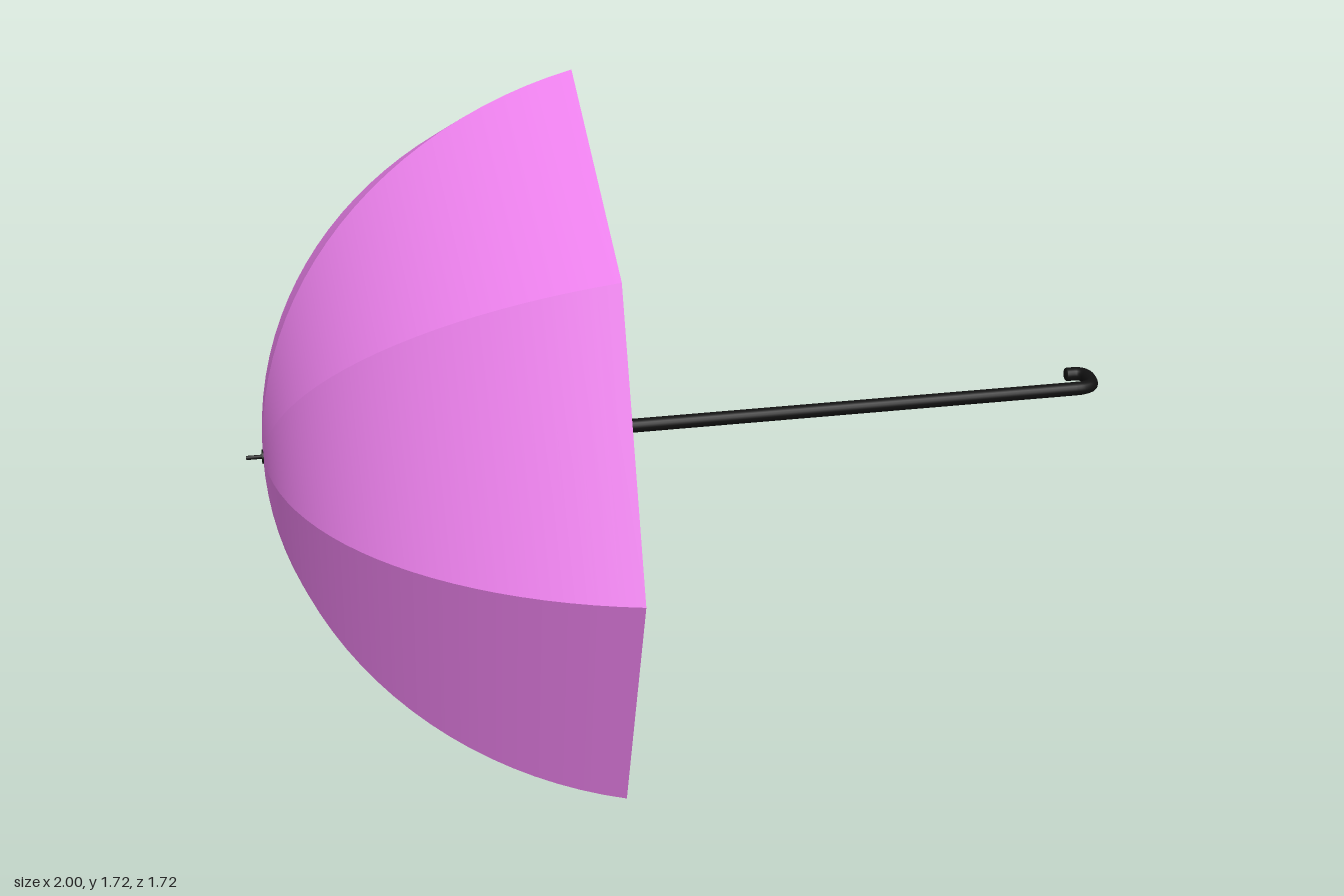
import * as THREE from 'three';

const AXIS_Y = 0.863; // height of the shaft axis
const RIM_X = -0.25, APEX_X = -0.962, RIM_R = 0.86;
const PANELS = 8, ROWS = 24;

// One flat-across, curved-along panel between two ridges, from apex to rim
function panelGeometry(a0, a1) {
  const pos = [], index = [];
  const thetaEnd = Math.acos(RIM_X / APEX_X);
  for (let i = 0; i <= ROWS; i++) {
    const t = Math.max(thetaEnd * i / ROWS, 0.002);
    const x = APEX_X * Math.cos(t);
    const r = RIM_R * Math.sin(t) / Math.sin(thetaEnd);
    for (const a of [a0, a1]) pos.push(x, r * Math.sin(a), r * Math.cos(a));
    if (i < ROWS) {
      const k = i * 2;
      index.push(k, k + 2, k + 1, k + 1, k + 2, k + 3);
    }
  }
  const g = new THREE.BufferGeometry();
  g.setAttribute('position', new THREE.Float32BufferAttribute(pos, 3));
  g.setIndex(index);
  g.computeVertexNormals();
  return g;
}

// Thin cylinder between two points
function rod(name, from, to, radius, material, sides = 8) {
  const dir = to.clone().sub(from);
  const m = new THREE.Mesh(new THREE.CylinderGeometry(radius, radius, dir.length(), sides), material);
  m.position.copy(from).add(to).multiplyScalar(0.5);
  m.quaternion.setFromUnitVectors(new THREE.Vector3(0, 1, 0), dir.normalize());
  m.name = name;
  return m;
}

export function createModel() {
  const model = new THREE.Group();
  model.name = 'umbrella';
  const body = new THREE.Group();
  body.position.y = AXIS_Y;
  model.add(body);

  const cloth = new THREE.MeshStandardMaterial({ color: 0xee82ee, side: THREE.DoubleSide });
  const black = new THREE.MeshStandardMaterial({ color: 0x111111 });
  const V = (x, y, z) => new THREE.Vector3(x, y, z);

  // Canopy: eight panels meeting in sharp ridges
  const canopy = new THREE.Group();
  canopy.name = 'canopy';
  for (let i = 0; i < PANELS; i++) {
    const step = Math.PI * 2 / PANELS;
    const panel = new THREE.Mesh(panelGeometry(i * step, (i + 1) * step), cloth);
    panel.name = 'canopyPanel';
    canopy.add(panel);
  }
  body.add(canopy);

  // Shaft and the thin spike on top of the canopy
  body.add(rod('shaft', V(-0.965, 0, 0), V(0.935, 0, 0), 0.016, black, 16));
  body.add(rod('spike', V(-0.96, 0, 0), V(-1, 0, 0), 0.005, black));

  // Short ribs spreading under the apex
  const ribs = new THREE.Group();
  ribs.name = 'ribs';
  for (let i = 0; i < 9; i++) {
    const a = THREE.MathUtils.degToRad(25 + i * 40);
    ribs.add(rod('rib', V(-0.91, 0, 0), V(-0.935, 0.13 * Math.sin(a), -0.13 * Math.cos(a)), 0.003, black, 6));
  }
  body.add(ribs);

  // Hooked handle curling towards the back
  const path = new THREE.CatmullRomCurve3([
    V(0.93, 0, 0), V(0.955, 0, -0.002), V(0.977, 0, -0.014), V(0.984, 0, -0.042),
    V(0.981, 0, -0.068), V(0.967, 0, -0.081), V(0.94, 0, -0.083),
  ]);
  const handle = new THREE.Mesh(new THREE.TubeGeometry(path, 32, 0.016, 16), black);
  handle.name = 'handle';
  body.add(handle);
  const cap = new THREE.Mesh(new THREE.SphereGeometry(0.016, 16, 10), black);
  cap.name = 'handleEnd';
  cap.scale.x = 0.4;
  cap.position.set(0.94, 0, -0.083);
  body.add(cap);

  return model;
}
